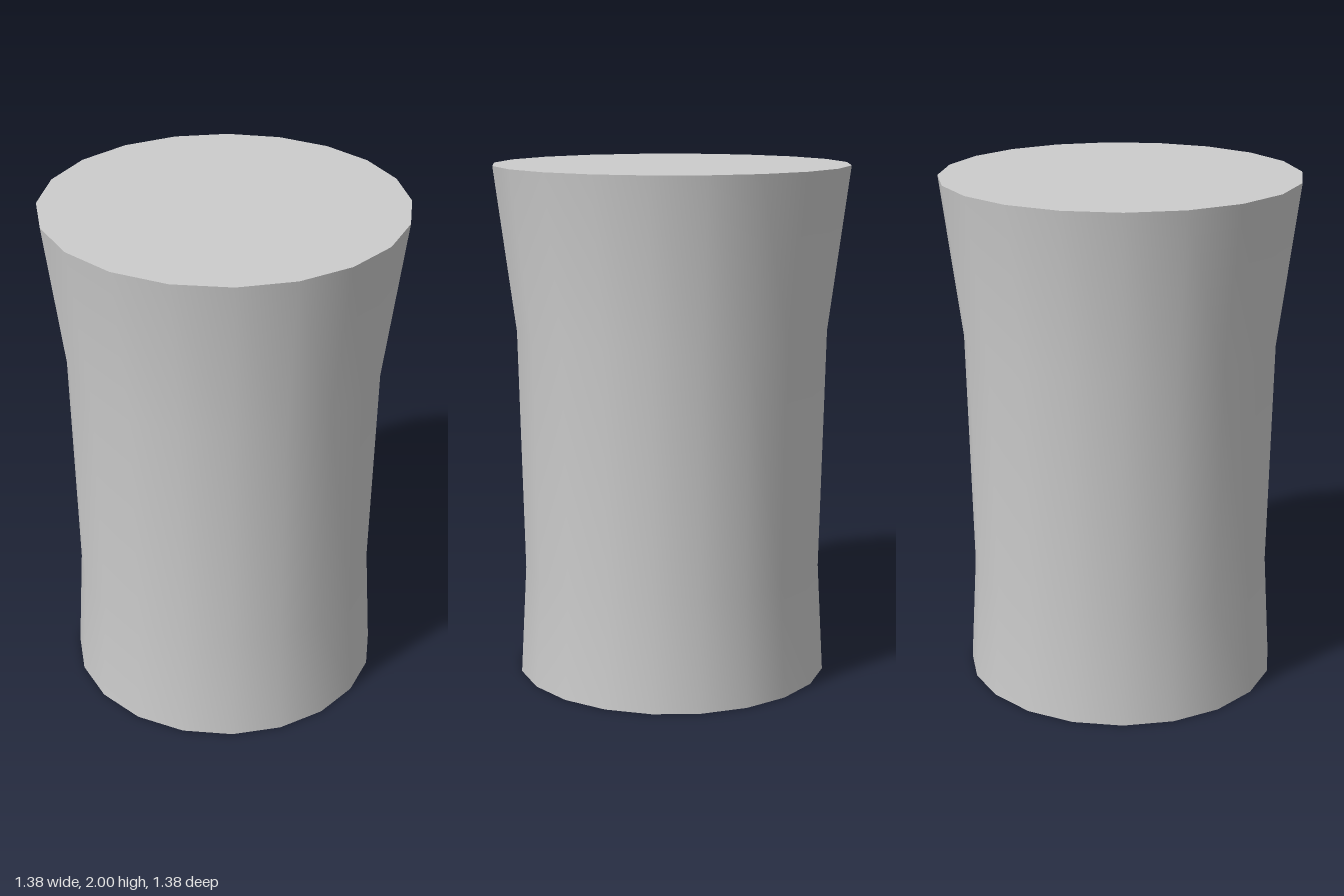
import * as THREE from 'three';

const SIDES = 20;

// Slide ring vertices slightly toward the back, keeping their radius
function skewRing(geometry) {
  const p = geometry.attributes.position;
  for (let i = 0; i < p.count; i++) {
    const x = p.getX(i), z = p.getZ(i), r = Math.hypot(x, z);
    const a = Math.atan2(x, z);
    const b = a + 0.044 * Math.sin(a);
    p.setX(i, r * Math.sin(b));
    p.setZ(i, r * Math.cos(b));
  }
  return geometry;
}

export function createModel() {
  const group = new THREE.Group();
  const material = new THREE.MeshStandardMaterial({ color: 0xcccccc });
  const add = (name, geometry) => {
    const mesh = new THREE.Mesh(skewRing(geometry), material);
    mesh.name = name;
    group.add(mesh);
  };

  // Smooth waisted wall, flaring toward the top
  const profile = [[0.612, 0], [0.588, 0.43], [0.608, 1.37], [0.69, 2]]
    .map(([r, y]) => new THREE.Vector2(r, y));
  add('wall', new THREE.LatheGeometry(profile, SIDES));

  // Flat end caps
  add('topCap', new THREE.CircleGeometry(0.69, SIDES).rotateX(-Math.PI / 2).translate(0, 2, 0));
  add('bottomCap', new THREE.CircleGeometry(0.612, SIDES).rotateX(Math.PI / 2));

  return group;
}
